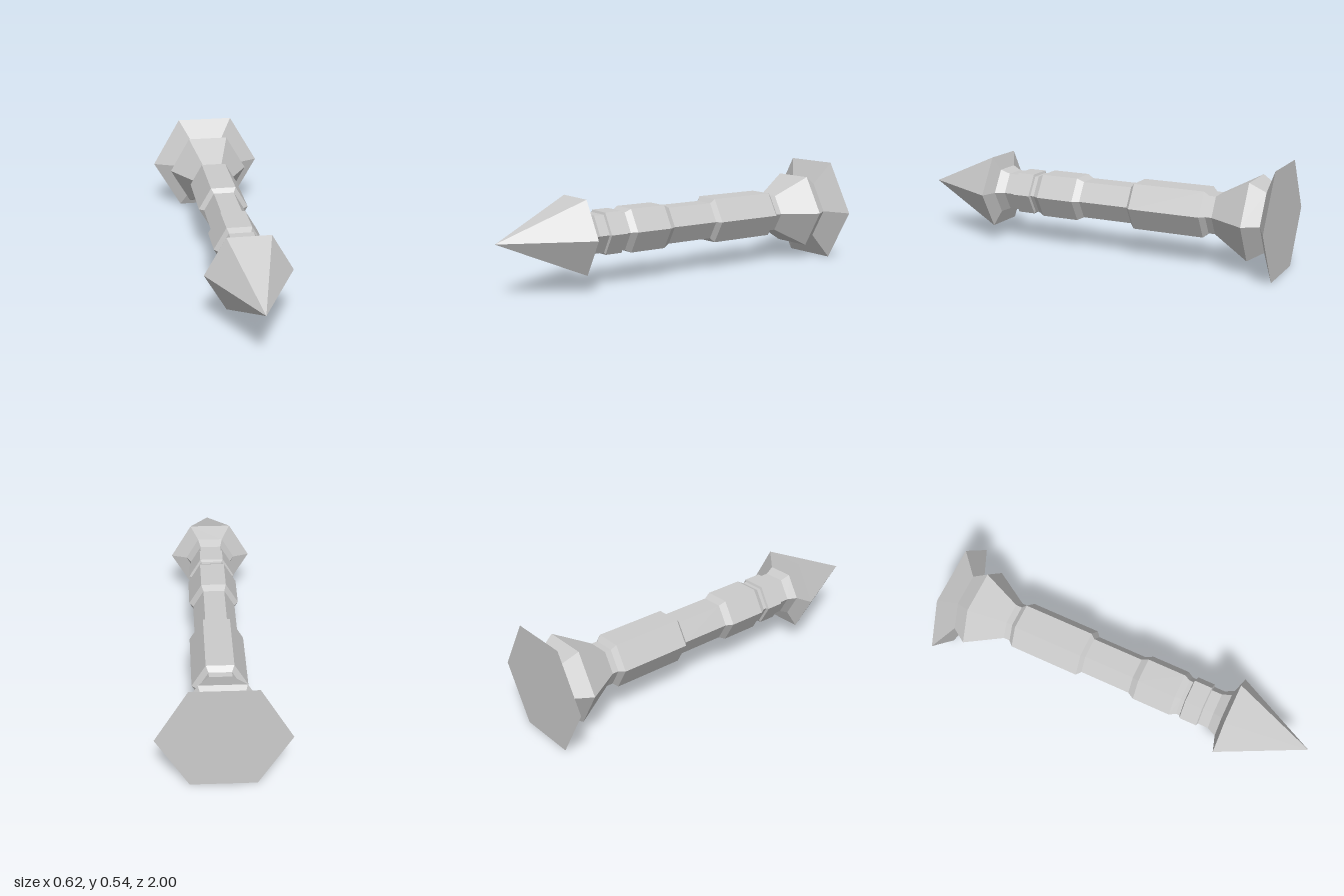
import * as THREE from 'three';

const AXIS_HEIGHT = 0.268;

// Six-sided turned section along z; profile is a list of [z, corner radius] from back to front
function turned(name, profile, material) {
  const points = profile.map(([z, r]) => new THREE.Vector2(r, z));
  const geometry = new THREE.LatheGeometry(points, 6, Math.PI / 2);
  geometry.rotateX(Math.PI / 2);
  const mesh = new THREE.Mesh(geometry, material);
  mesh.name = name;
  mesh.position.y = AXIS_HEIGHT;
  return mesh;
}

export function createModel() {
  const group = new THREE.Group();
  group.name = 'spike';
  const material = new THREE.MeshStandardMaterial({ color: 0xcccccc, flatShading: true });

  const parts = {
    // Wide flat end plate narrowing to a waist
    endPlate: [[-1, 0], [-1, 0.31], [-0.94, 0.17]],
    // Flared collar tapering into the shaft
    flaredCollar: [[-0.94, 0.17], [-0.862, 0.222], [-0.678, 0.109], [-0.645, 0.109]],
    // Long raised grip
    grip: [[-0.645, 0.109], [-0.62, 0.134], [-0.245, 0.134], [-0.224, 0.108]],
    // Plain shaft
    shaft: [[-0.224, 0.108], [0.045, 0.108]],
    // Bevelled middle band
    middleBand: [[0.045, 0.108], [0.08, 0.128], [0.283, 0.128], [0.315, 0.109], [0.335, 0.109]],
    // Narrow square-edged ring
    ring: [[0.335, 0.109], [0.34, 0.122], [0.433, 0.122], [0.438, 0.109]],
    // Neck widening to the underside of the point
    neck: [[0.438, 0.109], [0.493, 0.109], [0.541, 0.132], [0.566, 0.215]],
    // Pointed head
    pointedHead: [[0.566, 0.215], [1, 0]],
  };
  for (const [name, profile] of Object.entries(parts)) group.add(turned(name, profile, material));
  return group;
}
